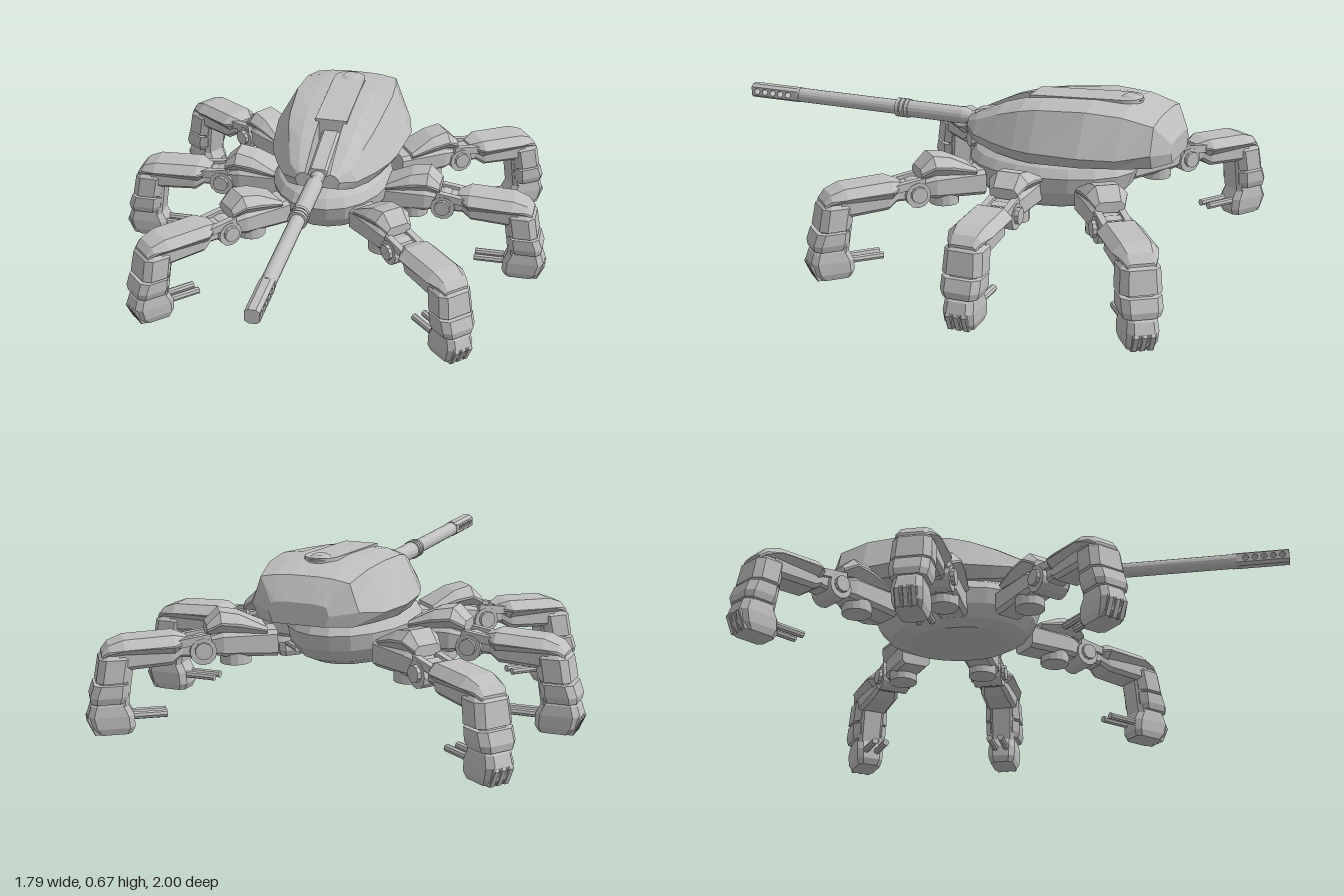
import * as THREE from 'three';

const grey = new THREE.MeshStandardMaterial({ color: 0xbfbfbf });
grey.name = 'armour grey';

function add(parent, name, geo, x = 0, y = 0, z = 0) {
  const flat = geo.index ? geo.toNonIndexed() : geo;
  flat.computeVertexNormals();
  const mesh = new THREE.Mesh(flat, grey);
  mesh.name = name;
  mesh.position.set(x, y, z);
  parent.add(mesh);
  return mesh;
}

// Skin a list of equal-length rings of [x, y, z] and cap both ends
function loft(rings) {
  let tris = [];
  const n = rings[0].length;
  const centre = r => [0, 1, 2].map(k => r.reduce((s, p) => s + p[k], 0) / n);
  for (let i = 0; i < rings.length - 1; i++) {
    for (let j = 0; j < n; j++) {
      const a = rings[i][j], b = rings[i][(j + 1) % n];
      const c = rings[i + 1][(j + 1) % n], d = rings[i + 1][j];
      tris.push([a, b, c], [a, c, d]);
    }
  }
  const first = rings[0], last = rings[rings.length - 1];
  const c0 = centre(first), c1 = centre(last);
  for (let j = 0; j < n; j++) {
    const k = (j + 1) % n;
    tris.push([first[k], first[j], c0], [last[j], last[k], c1]);
  }
  // Turn the faces outward if the enclosed volume is negative
  const v = t => t.map(p => new THREE.Vector3(...p));
  const volume = tris.reduce((s, t) => { const [a, b, c] = v(t); return s + a.dot(b.cross(c)); }, 0);
  if (volume < 0) tris = tris.map(([a, b, c]) => [a, c, b]);
  const geo = new THREE.BufferGeometry();
  geo.setAttribute('position', new THREE.Float32BufferAttribute(tris.flat(2), 3));
  return geo;
}

// Rectangle with cut corners
function cutRect(a0, a1, b0, b1, c) {
  return [[a0 + c, b0], [a1 - c, b0], [a1, b0 + c], [a1, b1 - c],
    [a1 - c, b1], [a0 + c, b1], [a0, b1 - c], [a0, b0 + c]];
}
// Sections across the leg: [x, yLow, yHigh, halfWidth, cut]
const alongX = rows => loft(rows.map(([x, y0, y1, w, c]) =>
  cutRect(-w, w, y0, y1, c).map(([z, y]) => [x, y, z])));
// Sections up the leg: [y, xIn, xOut, halfWidth, cut]
const alongY = rows => loft(rows.map(([y, x0, x1, w, c]) =>
  cutRect(x0, x1, -w, w, c).map(([x, z]) => [x, y, z])));

// Cylinder lying along z from z0 to z1
function rod(parent, name, x, y, z0, z1, r0, r1 = r0, sides = 16) {
  const geo = new THREE.CylinderGeometry(r1, r0, z1 - z0, sides).rotateX(Math.PI / 2);
  return add(parent, name, geo, x, y, (z0 + z1) / 2);
}

// Leg built along local +x, standing on y = 0
function makeLeg() {
  const leg = new THREE.Group();
  add(leg, 'hipArm', alongX([[-0.06, 0.26, 0.36, 0.06, 0.015], [0.14, 0.27, 0.36, 0.06, 0.015],
    [0.2, 0.28, 0.34, 0.04, 0.01]]));
  add(leg, 'hipPivot', new THREE.CylinderGeometry(0.058, 0.058, 0.1, 14), 0.09, 0.286, 0);
  add(leg, 'hipCover', alongX([[-0.02, 0.35, 0.375, 0.07, 0.01], [0.08, 0.355, 0.425, 0.078, 0.03],
    [0.15, 0.36, 0.438, 0.078, 0.035], [0.2, 0.35, 0.39, 0.055, 0.015]]));
  // Knee linkage between hip and thigh
  rod(leg, 'kneeDrum', 0.215, 0.295, -0.06, 0.06, 0.05, 0.05, 12);
  for (const s of [-1, 1]) {
    rod(leg, 'kneeDisc', 0.215, 0.3, s * 0.065 - 0.01, s * 0.065 + 0.01, 0.032, 0.032, 10);
    const strut = add(leg, 'kneeStrut', new THREE.BoxGeometry(0.13, 0.03, 0.025), 0.25, 0.335, s * 0.045);
    strut.rotation.z = -0.15;
  }
  add(leg, 'kneeLink', alongX([[0.18, 0.27, 0.34, 0.04, 0.01], [0.34, 0.275, 0.33, 0.045, 0.01]]));
  // Thigh
  add(leg, 'thigh', alongX([[0.28, 0.285, 0.325, 0.04, 0.01], [0.33, 0.25, 0.32, 0.06, 0.015],
    [0.52, 0.24, 0.32, 0.065, 0.015]]));
  add(leg, 'thighArmour', alongX([[0.27, 0.315, 0.345, 0.035, 0.008], [0.32, 0.29, 0.362, 0.085, 0.033],
    [0.5, 0.29, 0.355, 0.085, 0.033], [0.555, 0.285, 0.335, 0.065, 0.02], [0.58, 0.28, 0.305, 0.05, 0.008]]));
  // Shin
  add(leg, 'shin', alongY([[0.1, 0.49, 0.61, 0.052, 0.015], [0.31, 0.46, 0.57, 0.055, 0.015]]));
  add(leg, 'upperShinArmour', alongY([[0.2, 0.485, 0.605, 0.076, 0.025], [0.285, 0.47, 0.59, 0.072, 0.025],
    [0.3, 0.48, 0.575, 0.06, 0.02]]));
  add(leg, 'lowerShinArmour', alongY([[0.12, 0.5, 0.625, 0.066, 0.022], [0.145, 0.49, 0.628, 0.074, 0.025],
    [0.19, 0.485, 0.612, 0.074, 0.025]]));
  // Foot
  add(leg, 'foot', alongY([[0, 0.48, 0.605, 0.048, 0.018], [0.025, 0.468, 0.625, 0.056, 0.02],
    [0.07, 0.47, 0.638, 0.058, 0.022], [0.11, 0.49, 0.625, 0.054, 0.02], [0.125, 0.5, 0.61, 0.045, 0.015]]));
  for (const z of [-0.03, 0, 0.03]) {
    add(leg, 'toe', alongY([[0, 0.57, 0.615, 0.011, 0.003], [0.06, 0.57, 0.643, 0.012, 0.004],
      [0.085, 0.57, 0.63, 0.01, 0.003]]), 0, 0, z);
  }
  // Paired rods pointing inward from the foot
  for (const s of [-1, 1]) {
    add(leg, 'footSpike', new THREE.CylinderGeometry(0.014, 0.014, 0.14, 8).rotateZ(Math.PI / 2),
      0.42, 0.062, s * 0.024);
  }
  return leg;
}

function makeTurret() {
  const turret = new THREE.Group();
  turret.name = 'turret';
  // z, top, topHalf, shoulderHalf, shoulderY, wideHalf, wideY, baseHalf, baseY, slotFloor
  const rows = [
    [-0.83, 0.53, 0.09, 0.105, 0.52, 0.115, 0.49, 0.1, 0.45, 0.53],
    [-0.775, 0.615, 0.11, 0.17, 0.6, 0.205, 0.5, 0.18, 0.445, 0.615],
    [-0.66, 0.645, 0.115, 0.19, 0.628, 0.255, 0.48, 0.22, 0.44, 0.645],
    [-0.52, 0.65, 0.115, 0.2, 0.635, 0.285, 0.48, 0.25, 0.435, 0.65],
    [-0.32, 0.637, 0.11, 0.185, 0.617, 0.26, 0.47, 0.225, 0.42, 0.637],
    [-0.25, 0.627, 0.107, 0.175, 0.602, 0.24, 0.468, 0.205, 0.42, 0.627],
    [-0.249, 0.627, 0.107, 0.175, 0.602, 0.24, 0.468, 0.205, 0.42, 0.53],
    [-0.15, 0.597, 0.1, 0.15, 0.57, 0.2, 0.472, 0.175, 0.428, 0.515],
    [-0.05, 0.55, 0.085, 0.12, 0.53, 0.15, 0.48, 0.13, 0.445, 0.49],
    [0, 0.525, 0.07, 0.08, 0.512, 0.09, 0.495, 0.08, 0.465, 0.48],
  ];
  add(turret, 'turretShell', loft(rows.map(([z, top, tw, sw, sy, ww, wy, bw, by, floor]) => {
    const half = [[0.05, floor], [0.05, top], [tw, top - 0.004], [sw, sy], [ww, wy], [bw, by]];
    const mirrored = half.map(([x, y]) => [-x, y]).reverse();
    return [...half, ...mirrored].map(([x, y]) => [x, y, z]);
  })));
  add(turret, 'gunMantlet', loft([[-0.25, 0.46, 0.59], [-0.12, 0.46, 0.565], [-0.01, 0.465, 0.54]].map(
    ([z, y0, y1]) => cutRect(-0.037, 0.037, y0, y1, 0.01).map(([x, y]) => [x, y, z]))));
  // Raised spine with a rounded rear end
  const spine = new THREE.Shape();
  spine.moveTo(-0.065, 0.25);
  spine.lineTo(0.065, 0.25);
  spine.lineTo(0.065, 0.615);
  spine.absarc(0, 0.615, 0.065, 0, Math.PI, false);
  const spineGeo = new THREE.ExtrudeGeometry(spine, { depth: 0.02, bevelEnabled: false, curveSegments: 10 });
  spineGeo.rotateX(-Math.PI / 2);
  const p = spineGeo.attributes.position;
  for (let i = 0; i < p.count; i++) {
    p.setY(i, p.getY(i) + 0.618 + 0.055 * Math.min(0.365, -p.getZ(i) - 0.25));
  }
  add(turret, 'spine', spineGeo);
  add(turret, 'rearHatch', new THREE.CylinderGeometry(0.025, 0.05, 0.016, 14), 0, 0.658, -0.635);
  return turret;
}

function makeGun() {
  const gun = new THREE.Group();
  gun.name = 'gun';
  gun.position.y = 0.503;
  // z0, z1, radius at each end
  for (const [a, b, r0, r1] of [[-0.03, 0.02, 0.035, 0.022], [0.01, 0.05, 0.022, 0.034],
    [0.05, 0.29, 0.034, 0.034], [0.285, 0.3, 0.038, 0.038], [0.305, 0.32, 0.038, 0.038],
    [0.325, 0.34, 0.038, 0.038], [0.28, 0.79, 0.029, 0.029], [0.78, 0.795, 0.031, 0.031]]) {
    rod(gun, 'barrelSection', 0, 0, a, b, r0, r1);
  }
  // Muzzle brake with five cross holes
  const side = new THREE.Shape();
  side.moveTo(-1, -0.018);
  side.lineTo(-0.79, -0.018);
  side.lineTo(-0.79, 0.018);
  side.lineTo(-1, 0.018);
  for (let i = 0; i < 5; i++) {
    side.holes.push(new THREE.Path().absarc(-0.83 - i * 0.036, 0, 0.012, 0, Math.PI * 2, true));
  }
  const brake = new THREE.ExtrudeGeometry(side, { depth: 0.056, bevelEnabled: false, curveSegments: 8 });
  add(gun, 'muzzleBrake', brake.translate(0, 0, -0.028).rotateY(Math.PI / 2));
  for (const s of [-1, 1]) {
    add(gun, 'muzzleRail', loft([0.79, 1].map(z => [[-0.028, s * 0.018, z], [0.028, s * 0.018, z],
      [0.014, s * 0.028, z], [-0.014, s * 0.028, z]])));
  }
  return gun;
}

export function createModel() {
  const model = new THREE.Group();
  model.name = 'walkerTank';
  // Dish-shaped lower hull: y, half width, front length, rear length
  const hull = [[0.235, 0.165, 0.2, 0.24], [0.26, 0.2, 0.25, 0.3], [0.31, 0.23, 0.29, 0.345],
    [0.37, 0.24, 0.31, 0.365], [0.405, 0.22, 0.285, 0.345], [0.44, 0.17, 0.23, 0.29]];
  add(model, 'lowerHull', loft(hull.map(([y, w, front, rear]) => Array.from({ length: 20 }, (_, i) => {
    const a = (i + 0.5) / 20 * Math.PI * 2, s = Math.sin(a);
    return [w * Math.cos(a), y, -0.3 + (s > 0 ? front : rear) * s];
  }))));
  model.add(makeTurret(), makeGun());
  // Hip x, hip z, heading angle toward the front
  const legs = [['front', 0.205, -0.045, 45], ['middle', 0.25, -0.3, 0], ['rear', 0.27, -0.59, -35]];
  for (const [place, x, z, angle] of legs) {
    for (const s of [1, -1]) {
      const leg = makeLeg();
      leg.name = place + (s > 0 ? 'LeftLeg' : 'RightLeg');
      const a = angle * Math.PI / 180;
      leg.position.set(s * x, 0, z);
      leg.rotation.y = s > 0 ? -a : Math.PI + a;
      model.add(leg);
    }
  }
  return model;
}
